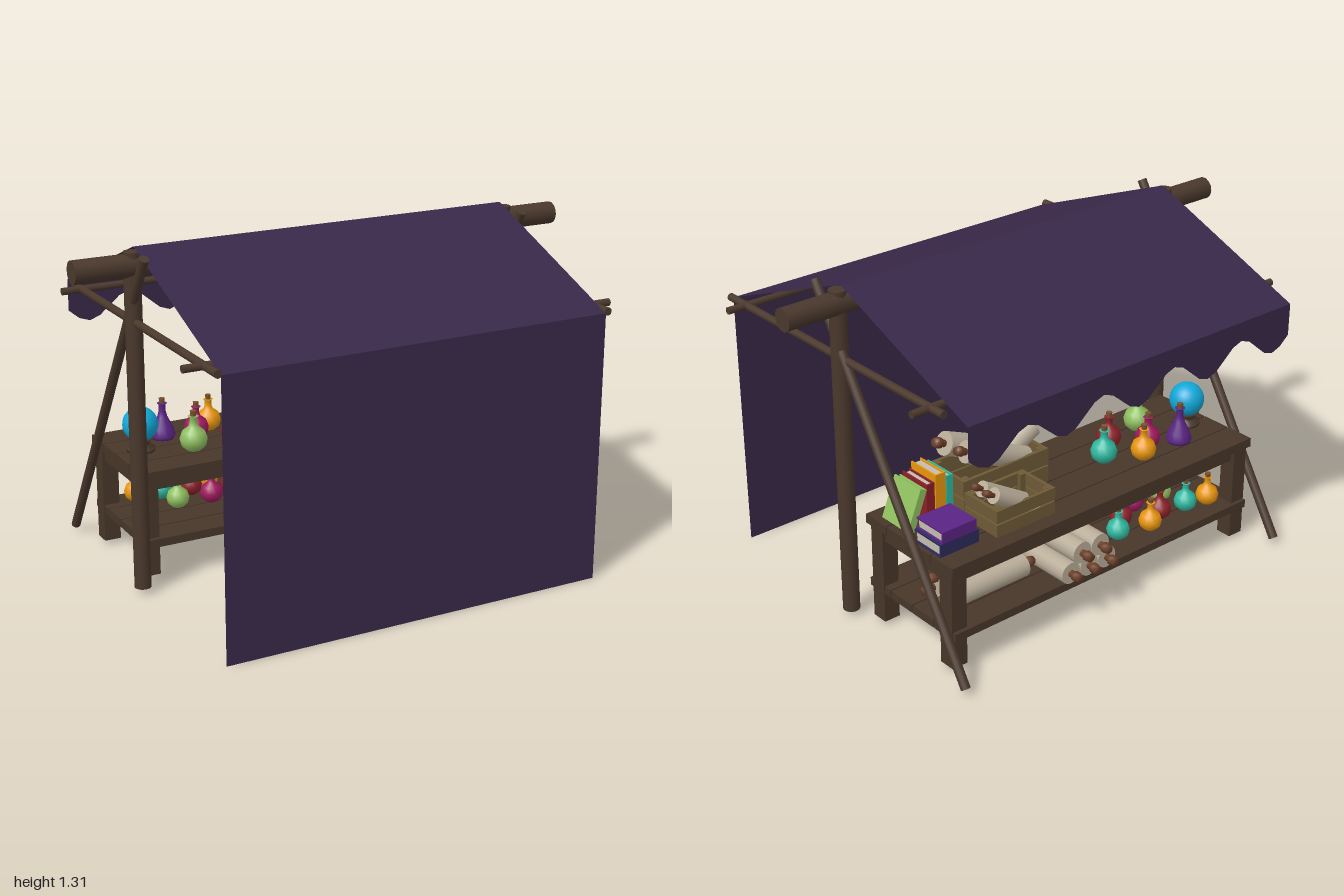
import * as THREE from 'three';

const mat = (color, extra = {}) => new THREE.MeshStandardMaterial({ color, ...extra });
const M = {
  pole: mat(0x4a382c), wood: mat(0x483629), crate: mat(0x6e5b36), paper: mat(0xb9ad99),
  core: mat(0x6b3f28), page: mat(0xc4bcb0), cork: mat(0x7a5230),
  cloth: mat(0x392849, { side: THREE.DoubleSide }),
};
const C = { teal: 0x2fb8a0, orange: 0xe8960c, red: 0x8c2028, magenta: 0xa01860, purple: 0x5a2484,
  green: 0x8fbf60, blue: 0x2c2a5c, sky: 0x12a8d8 };
const colors = Object.fromEntries(Object.entries(C).map(([k, v]) => [k, mat(v)]));

function add(parent, name, geo, material, x = 0, y = 0, z = 0) {
  const m = new THREE.Mesh(geo, material);
  m.name = name;
  m.position.set(x, y, z);
  parent.add(m);
  return m;
}

function box(parent, name, material, w, h, d, x, y, z) {
  return add(parent, name, new THREE.BoxGeometry(w, h, d), material, x, y, z);
}

// Round pole between two points
function pole(parent, name, a, b, r, material = M.pole) {
  const p = new THREE.Vector3(...a), q = new THREE.Vector3(...b);
  const dir = q.clone().sub(p);
  const m = add(parent, name, new THREE.CylinderGeometry(r, r, dir.length(), 14), material);
  m.position.copy(p).add(q).multiplyScalar(0.5);
  m.quaternion.setFromUnitVectors(new THREE.Vector3(0, 1, 0), dir.normalize());
  return m;
}

function group(parent, name, x = 0, y = 0, z = 0) {
  const g = new THREE.Group();
  g.name = name;
  g.position.set(x, y, z);
  parent.add(g);
  return g;
}

// Rolled parchment on a wooden rod with knobs, lying along a direction
function scroll(parent, center, dir, len, r) {
  const g = group(parent, 'scroll', ...center);
  g.quaternion.setFromUnitVectors(new THREE.Vector3(0, 1, 0), new THREE.Vector3(...dir).normalize());
  const h = len / 2, k = r * 0.45;
  add(g, 'parchment', new THREE.CylinderGeometry(r, r, len, 16), M.paper);
  const rod = [[0, -h - 0.05], [k * 0.8, -h - 0.05], [k, -h - 0.035], [k, -h - 0.02], [k * 0.7, -h - 0.018], [k * 0.7, -h],
    [k * 0.7, h], [k * 0.7, h + 0.018], [k, h + 0.02], [k, h + 0.035], [k * 0.8, h + 0.05], [0, h + 0.05]];
  add(g, 'rod', new THREE.LatheGeometry(rod.map(p => new THREE.Vector2(...p)), 10), M.core);
}

// Bottle with a cork; tall bottles are cone-shaped, the rest are round
function potion(parent, color, x, y, z, s = 1, tall = false) {
  const g = group(parent, 'potion', x, y, z);
  g.scale.setScalar(s);
  const prof = tall
    ? [[0, 0], [0.042, 0], [0.048, 0.012], [0.04, 0.04], [0.018, 0.085], [0.013, 0.105], [0.013, 0.13], [0.019, 0.135], [0, 0.135]]
    : [[0, 0], [0.025, 0], [0.044, 0.018], [0.049, 0.042], [0.04, 0.068], [0.018, 0.085], [0.013, 0.1], [0.013, 0.118], [0.019, 0.123], [0, 0.123]];
  add(g, 'bottle', new THREE.LatheGeometry(prof.map(p => new THREE.Vector2(...p)), 16), colors[color]);
  add(g, 'cork', new THREE.CylinderGeometry(0.012, 0.01, 0.022, 8), M.cork, 0, tall ? 0.143 : 0.131, 0);
}

// Standing book: thickness on x, spine toward -z
function book(parent, color, t, h, d, x, y, z) {
  const g = group(parent, 'book', x, y, z);
  for (const s of [-1, 1]) box(g, 'cover', colors[color], 0.006, h, d, s * (t / 2 - 0.003), h / 2, 0);
  box(g, 'spine', colors[color], t, h, 0.006, 0, h / 2, -d / 2 + 0.003);
  box(g, 'pages', M.page, t - 0.012, h - 0.014, d - 0.012, 0, h / 2, 0);
  return g;
}

// Open crate made of slats
function crate(parent, w, h, d, x, y, z) {
  const g = group(parent, 'crate', x, y, z);
  const t = 0.014, n = 2, sh = h / n;
  box(g, 'crateFloor', M.crate, w - 0.01, t, d - 0.01, 0, t / 2 + 0.002, 0);
  for (let i = 0; i < n; i++) for (const s of [-1, 1]) {
    const cy = sh * (i + 0.5);
    box(g, 'longSlat', M.crate, w, sh - 0.006, t, 0, cy, s * (d / 2 - t / 2));
    box(g, 'endSlat', M.crate, t, sh - 0.006, d - 2 * t, s * (w / 2 - t / 2), cy, 0);
  }
  for (const sx of [-1, 1]) for (const sz of [-1, 1])
    box(g, 'cornerPost', M.crate, 0.022, h - 0.004, 0.022, sx * (w / 2 - 0.025), h / 2, sz * (d / 2 - 0.022));
}

function buildFrame(root) {
  const g = group(root, 'frame');
  pole(g, 'ridgeBeam', [-1, 1.25, -0.005], [1, 1.25, -0.005], 0.043);
  for (const s of [-1, 1]) {
    const x = s * 0.775;
    pole(g, 'post', [x, 0.025, -0.005], [x, 1.3, -0.005], 0.032);
    pole(g, 'brace', [x + s * 0.005, 0.03, -0.68], [x + s * 0.005, 1.3, 0.12], 0.018);
    pole(g, 'sidePole', [x, 1.045, 0.69], [x, 1.045, -0.58], 0.015);
  }
  for (const z of [0.585, -0.51]) pole(g, 'crossPole', [-0.855, 1.045, z], [0.855, 1.045, z], 0.014);
}

function buildCanopy(root) {
  const W = 0.765, g = group(root, 'canopy');
  // Sheet across x that follows two (y, z) lines; the lower one may vary with t
  const sheet = (name, top, bottom, n = 1) => {
    const geo = new THREE.PlaneGeometry(1, 1, n, 1), p = geo.attributes.position;
    for (let i = 0; i < p.count; i++) {
      const t = p.getX(i) + 0.5, [y, z] = p.getY(i) > 0 ? top : bottom(t);
      p.setXYZ(i, (t * 2 - 1) * W, y, z);
    }
    geo.computeVertexNormals();
    add(g, name, geo, M.cloth);
  };
  const ridge = [1.315, -0.01], front = [1.04, 0.69], back = [1.04, -0.69];
  sheet('frontRoof', ridge, () => front);
  sheet('backRoof', ridge, () => back);
  sheet('frontCurtain', front, () => [0.003, 0.69]);
  sheet('scallopedValance', back, t => [1.04 - 0.125 - 0.05 * Math.sin(t * Math.PI * 9), -0.69], 36);
}

function buildTable(root) {
  const g = group(root, 'table');
  for (let i = 0; i < 4; i++) {
    const z = -0.13 - i * 0.125;
    box(g, 'topPlank', M.wood, 1.48, 0.036, 0.12, 0, 0.422, z);
    box(g, 'shelfPlank', M.wood, 1.46, 0.032, 0.12, 0, 0.154, z);
  }
  for (const sx of [-1, 1]) {
    box(g, 'endApron', M.wood, 0.04, 0.05, 0.34, sx * 0.7, 0.38, -0.32);
    for (const z of [-0.123, -0.517]) box(g, 'leg', M.wood, 0.066, 0.385, 0.066, sx * 0.7, 0.2125, z);
  }
  for (const z of [-0.123, -0.517]) box(g, 'longApron', M.wood, 1.36, 0.05, 0.035, 0, 0.38, z);
}

function buildGoods(root) {
  const g = group(root, 'goods'), top = 0.441, shelf = 0.171;

  // Crates with scrolls sticking out toward the left end
  crate(g, 0.4, 0.145, 0.2, 0.29, top, -0.22);
  crate(g, 0.27, 0.11, 0.18, 0.36, top, -0.42);
  scroll(g, [0.33, 0.62, -0.185], [1, 0.42, 0], 0.3, 0.045);
  scroll(g, [0.3, 0.61, -0.27], [1, 0.42, 0], 0.3, 0.042);
  scroll(g, [0.16, 0.6, -0.225], [-1, 0.55, 0], 0.16, 0.04);
  for (const z of [-0.415, -0.478]) scroll(g, [0.39, 0.54, z], [1, 0.6, 0], 0.22, 0.03);

  // Standing books, one leaning, and a flat stack
  book(g, 'orange', 0.045, 0.19, 0.14, 0.565, top, -0.215);
  book(g, 'red', 0.035, 0.165, 0.14, 0.61, top, -0.215);
  book(g, 'teal', 0.03, 0.17, 0.14, 0.525, top, -0.215);
  book(g, 'green', 0.03, 0.165, 0.15, 0.705, top + 0.003, -0.215).rotation.z = 0.38;
  [['blue', 0.05, 0], ['purple', 0.045, 0.05]].forEach(([c, t, dy], i) => {
    const b = book(g, c, t, 0.17 - i * 0.02, 0.145, 0.725 - i * 0.01, top + dy + t / 2, -0.41);
    b.rotation.z = Math.PI / 2;
  });

  // Potions on the table
  [['teal', -0.18, -0.33, 1.05], ['orange', -0.31, -0.41, 1], ['red', -0.28, -0.25, 1],
    ['magenta', -0.39, -0.35, 1], ['purple', -0.51, -0.4, 1.05, true], ['green', -0.46, -0.22, 1.1]]
    .forEach(([c, x, z, s, tall]) => potion(g, c, x, top, z, s, tall));

  // Glass orb on a turned stand
  const stand = [[0, 0], [0.055, 0], [0.055, 0.012], [0.035, 0.022], [0.035, 0.035], [0.052, 0.055], [0, 0.045]];
  add(g, 'orbStand', new THREE.LatheGeometry(stand.map(p => new THREE.Vector2(...p)), 16), M.wood, -0.64, top, -0.31);
  add(g, 'orb', new THREE.SphereGeometry(0.068, 24, 16), colors.sky, -0.64, top + 0.105, -0.31);

  // Scroll piles on the shelf: one along the table, one across it
  for (const [y, z] of [[0.216, -0.33], [0.216, -0.42], [0.285, -0.367]]) scroll(g, [0.47, y, z], [1, 0, 0], 0.34, 0.044);
  for (let i = 0; i < 3; i++) scroll(g, [0.03 + i * 0.088, 0.216, -0.43], [0, 0, 1], 0.3, 0.043);
  for (let i = 0; i < 2; i++) scroll(g, [0.074 + i * 0.088, 0.29, -0.44], [0, 0, 1], 0.3, 0.043);

  // Potions on the shelf
  [['teal', -0.15, -0.45], ['red', -0.23, -0.38], ['orange', -0.29, -0.48], ['red', -0.38, -0.44],
    ['teal', -0.5, -0.46], ['orange', -0.6, -0.48], ['magenta', -0.34, -0.33], ['green', -0.48, -0.34]]
    .forEach(([c, x, z]) => potion(g, c, x, shelf, z, 0.92));
}

export function createModel() {
  const root = new THREE.Group();
  root.name = 'marketStall';
  buildFrame(root);
  buildCanopy(root);
  buildTable(root);
  buildGoods(root);
  return root;
}
